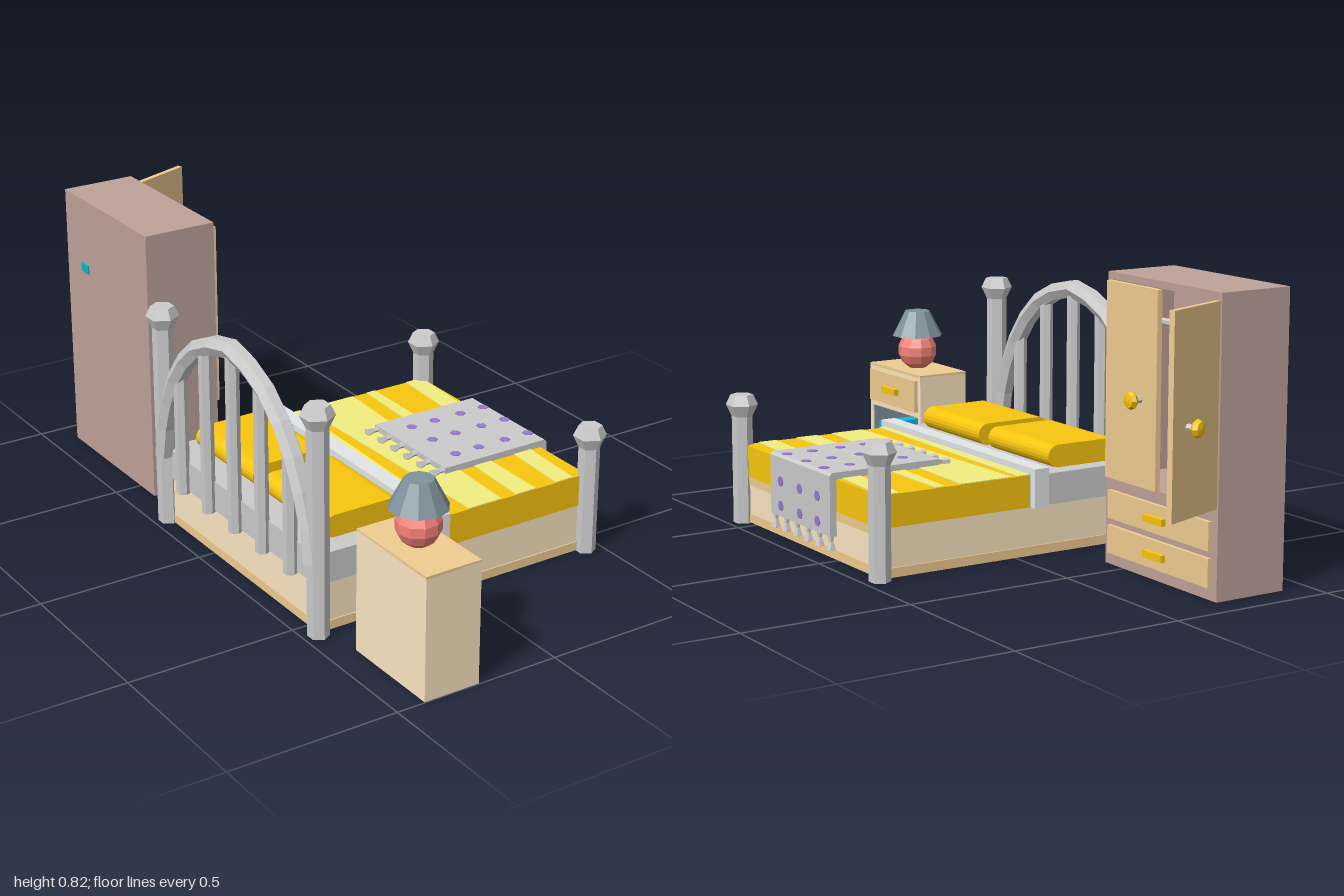
import * as THREE from 'three';

const GREY = 0xcccccc, TAN = 0xf0cc92, PALE = 0xfce6c2, BROWN = 0xbfa299, GOLD = 0xf8c60e, STRAW = 0xf2ee80,
  SLATE = 0x7f929c, CORAL = 0xf58378, CYAN = 0x12b8c4, BLUE = 0x1fb6dc, ICE = 0xa8dce4, PURPLE = 0x9a78cc, SHEET = 0xe2e6e8;
const V = (x, y, z) => new THREE.Vector3(x, y, z);

function mesh(parent, name, geo, color, x = 0, y = 0, z = 0) {
  const mat = new THREE.MeshStandardMaterial({ color, flatShading: true, side: THREE.DoubleSide });
  const m = new THREE.Mesh(geo, mat);
  m.name = name;
  m.position.set(x, y, z);
  parent.add(m);
  return m;
}

// Box given by its min and max on each axis
function box(parent, name, color, x0, x1, y0, y1, z0, z1) {
  return mesh(parent, name, new THREE.BoxGeometry(x1 - x0, y1 - y0, z1 - z0), color,
    (x0 + x1) / 2, (y0 + y1) / 2, (z0 + z1) / 2);
}

function lathe(parent, name, color, pts, sides, x, y, z) {
  return mesh(parent, name, new THREE.LatheGeometry(pts.map(p => new THREE.Vector2(...p)), sides), color, x, y, z);
}

// Flat outline in x-y, extruded along z
function extrude(pts, depth) {
  return new THREE.ExtrudeGeometry(new THREE.Shape(pts.map(p => new THREE.Vector2(...p))), { depth, bevelEnabled: false });
}

function group(parent, name) {
  const g = new THREE.Group();
  g.name = name;
  parent.add(g);
  return g;
}

// Knob whose axis points along +x
function knob(parent, x, y, z) {
  const k = group(parent, 'knob');
  lathe(k, 'knobStem', GREY, [[0.01, 0], [0.01, 0.03]], 6, 0, 0, 0);
  lathe(k, 'knobHead', GOLD, [[0, 0.018], [0.016, 0.02], [0.026, 0.032], [0.02, 0.044], [0, 0.048]], 8, 0, 0, 0);
  k.rotation.z = -Math.PI / 2;
  k.position.set(x, y, z);
  return k;
}

function handle(parent, x, y, z) {
  box(parent, 'drawerHandle', GOLD, x, x + 0.018, y - 0.01, y + 0.01, z - 0.042, z + 0.042);
}

function buildBed(root) {
  const bed = group(root, 'bed'), mid = 0.152;
  box(bed, 'bedBase', PALE, -0.45, 0.44, 0.03, 0.145, -0.248, 0.552);
  box(bed, 'bedPlinth', TAN, -0.452, 0.443, 0.003, 0.03, -0.252, 0.556);
  box(bed, 'footRail', TAN, 0.43, 0.444, 0.118, 0.145, -0.248, 0.552);
  box(bed, 'mattress', GREY, -0.455, -0.04, 0.145, 0.235, -0.255, 0.555);
  box(bed, 'blanket', GOLD, -0.045, 0.447, 0.145, 0.238, -0.255, 0.555);
  box(bed, 'foldedSheet', SHEET, -0.09, -0.042, 0.145, 0.258, -0.277, 0.58);

  // Tapering stripes: x range at the far side, then at the near side
  for (const [a, b, c, d] of [[-0.043, 0.0, -0.043, -0.02], [0.02, 0.19, 0.04, 0.15], [0.24, 0.27, 0.2, 0.27], [0.385, 0.445, 0.34, 0.4]]) {
    const s = mesh(bed, 'blanketStripe', extrude([[a, 0.254], [b, 0.254], [d, -0.554], [c, -0.554]], 0.003), STRAW, 0, 0.2375, 0);
    s.rotation.x = -Math.PI / 2;
  }

  // Pillows with rounded long edges
  for (const z of [-0.2, 0.17]) {
    const s = new THREE.Shape();
    s.absarc(-0.173, 0.268, 0.033, -Math.PI / 2, Math.PI / 2, false);
    s.absarc(-0.355, 0.268, 0.033, Math.PI / 2, Math.PI * 1.5, false);
    mesh(bed, 'pillow', new THREE.ExtrudeGeometry(s, { depth: 0.318, bevelEnabled: false, curveSegments: 5 }), GOLD, 0, 0, z);
  }

  // Hexagonal posts with flared caps
  for (const [x, h, name] of [[-0.455, 0.675, 'headPost'], [0.45, 0.39, 'footPost']])
    for (const z of [-0.255, 0.56])
      lathe(bed, name, GREY, [[0, 0], [0.031, 0], [0.031, h - 0.065], [0.048, h - 0.03], [0.034, h], [0, h]], 6, x, 0, z);

  // Arched headboard and its bars
  const half = [[0.4, 0.22], [0.375, 0.36], [0.305, 0.5], [0.215, 0.61], [0.105, 0.665]];
  const pts = [...half, [0, 0.688], ...half.slice().reverse().map(([z, y]) => [-z, y])]
    .map(([z, y]) => V(-0.468, y, mid + z));
  const path = new THREE.CurvePath();
  for (let i = 1; i < pts.length; i++) path.add(new THREE.LineCurve3(pts[i - 1], pts[i]));
  mesh(bed, 'headboardArch', new THREE.TubeGeometry(path, 14, 0.029, 6), GREY);
  for (const [dz, top] of [[-0.29, 0.51], [-0.145, 0.64], [0, 0.68], [0.145, 0.64], [0.29, 0.51]])
    mesh(bed, 'headboardBar', new THREE.CylinderGeometry(0.02, 0.02, top - 0.14, 6), GREY, -0.468, (top + 0.14) / 2, mid + dz);

  // Throw over the foot end, with dots and fringe
  const cloth = group(bed, 'throw');
  mesh(cloth, 'throwCloth', extrude([[0.11, 0.236], [0.449, 0.236], [0.449, 0.075], [0.47, 0.075], [0.47, 0.25], [0.462, 0.258], [0.11, 0.258]], 0.355), GREY, 0, 0, -0.013);
  const dot = new THREE.CylinderGeometry(0.016, 0.016, 0.004, 6);
  for (const z of [0.06, 0.165, 0.28]) {
    for (const x of [0.19, 0.272, 0.365, 0.448]) mesh(cloth, 'throwDot', dot, PURPLE, x, 0.258, z);
    for (const y of [0.18, 0.107]) mesh(cloth, 'throwDot', dot, PURPLE, 0.47, y, z).rotation.z = Math.PI / 2;
  }
  const tassel = [[0, 0], [0.009, 0], [0.007, -0.018], [0.015, -0.042], [0, -0.046]];
  for (let i = 0; i < 6; i++) {
    const z = 0.0 + i * 0.066;
    lathe(cloth, 'hangingTassel', GREY, tassel, 5, 0.46, 0.077, z);
    lathe(cloth, 'flatTassel', GREY, tassel, 5, 0.115, 0.25, z).rotation.z = -Math.PI / 2 + 0.15;
  }
}

function buildNightstand(root) {
  const n = group(root, 'nightstand'), x0 = -0.415, x1 = -0.245, z0 = 0.682, z1 = 0.998;
  for (const z of [z0, z1 - 0.015]) box(n, 'nightstandSide', PALE, x0, x1, 0, 0.355, z, z + 0.015);
  box(n, 'nightstandBack', PALE, x0, x0 + 0.012, 0, 0.355, z0, z1);
  box(n, 'nightstandFloor', PALE, x0, x1, 0, 0.015, z0, z1);
  box(n, 'nightstandTop', TAN, x0, x1, 0.352, 0.36, z0, z1);
  box(n, 'drawerHousing', PALE, x0, x1, 0.222, 0.354, z0, z1);
  box(n, 'drawerFront', TAN, x1, -0.233, 0.24, 0.342, 0.698, 0.982);
  handle(n, -0.235, 0.29, 0.84);
  // Lining of the open shelf
  box(n, 'shelfBack', SLATE, x0 + 0.012, x0 + 0.016, 0.015, 0.222, 0.697, 0.983);
  for (const z of [0.697, 0.98]) box(n, 'shelfSide', SLATE, x0 + 0.012, x1 - 0.004, 0.015, 0.222, z, z + 0.003);
  box(n, 'shelfCeiling', SLATE, x0 + 0.012, x1 - 0.004, 0.219, 0.222, 0.697, 0.983);

  for (const [z, w, h, tilt, color] of [[0.948, 0.05, 0.145, 0, BLUE], [0.886, 0.042, 0.12, 0.2, CORAL], [0.81, 0.042, 0.11, -0.28, GOLD], [0.748, 0.05, 0.125, -0.2, ICE]]) {
    const b = box(n, 'book', color, -0.385, -0.262, -h / 2, h / 2, -w / 2, w / 2);
    b.position.y = 0.022 + h / 2;
    b.position.z = z;
    b.rotation.x = tilt;
  }

  const lamp = group(n, 'lamp');
  mesh(lamp, 'lampBase', new THREE.SphereGeometry(0.063, 10, 7), CORAL, -0.328, 0.416, 0.837);
  lathe(lamp, 'lampShade', SLATE, [[0, 0.468], [0.082, 0.465], [0.04, 0.545], [0, 0.545]], 10, -0.328, 0, 0.837);
}

function buildWardrobe(root) {
  const w = group(root, 'wardrobe'), x0 = -0.415, x1 = -0.19, z0 = -0.917, z1 = -0.415;
  box(w, 'wardrobeTop', BROWN, x0, x1, 0.805, 0.825, z0, z1);
  box(w, 'wardrobeBack', BROWN, x0, x0 + 0.012, 0, 0.825, z0, z1);
  for (const z of [z0, z1 - 0.018]) box(w, 'wardrobeSide', BROWN, x0, x1, 0, 0.825, z, z + 0.018);
  box(w, 'drawerCase', BROWN, x0, x1, 0, 0.25, z0, z1);
  for (const y of [0.035, 0.135]) {
    box(w, 'drawerFront', TAN, x1, -0.178, y, y + 0.08, -0.893, -0.438);
    handle(w, -0.18, y + 0.04, -0.665);
  }
  box(w, 'closedDoor', TAN, x1, -0.174, 0.252, 0.803, -0.662, -0.43);
  knob(w, -0.176, 0.495, -0.59);

  // Open door, swung past a right angle about its hinge
  const door = group(w, 'openDoor');
  box(door, 'doorPanel', TAN, -0.008, 0.008, 0.252, 0.803, 0, 0.218);
  knob(door, 0.006, 0.495, 0.15).rotation.z = -Math.PI / 2;
  door.position.set(-0.188, 0, -0.903);
  door.rotation.y = Math.PI / 2 + 0.35;

  // Rail, hangers and garment
  const rail = mesh(w, 'clothesRail', new THREE.CylinderGeometry(0.01, 0.01, 0.47, 6), GREY, -0.3, 0.69, -0.666);
  rail.rotation.x = Math.PI / 2;
  for (const z of [-0.71, -0.795, -0.86]) {
    const h = group(w, 'hanger');
    h.position.set(-0.3, 0.69, z);
    mesh(h, 'hangerRing', new THREE.TorusGeometry(0.02, 0.006, 5, 8), GREY);
    mesh(h, 'hangerStem', new THREE.CylinderGeometry(0.006, 0.006, 0.03, 5), GREY, 0, -0.033, 0);
    const tri = [V(0, -0.045, 0), V(0.085, -0.085, 0), V(-0.085, -0.085, 0), V(0, -0.045, 0)];
    for (let i = 0; i < 3; i++)
      mesh(h, 'hangerBar', new THREE.TubeGeometry(new THREE.LineCurve3(tri[i], tri[i + 1]), 1, 0.007, 5), GREY);
  }
  mesh(w, 'hangingShirt', extrude([[-0.02, 0.655], [0.02, 0.655], [0.05, 0.64], [0.1, 0.585], [0.085, 0.56], [0.05, 0.59],
    [0.06, 0.4], [-0.06, 0.4], [-0.05, 0.59], [-0.1, 0.575], [-0.119, 0.595], [-0.119, 0.62], [-0.05, 0.645]], 0.042), CYAN, -0.3, 0, -0.822);
}

export function createModel() {
  const root = new THREE.Group();
  root.name = 'bedroomSet';
  buildBed(root);
  buildNightstand(root);
  buildWardrobe(root);
  return root;
}
